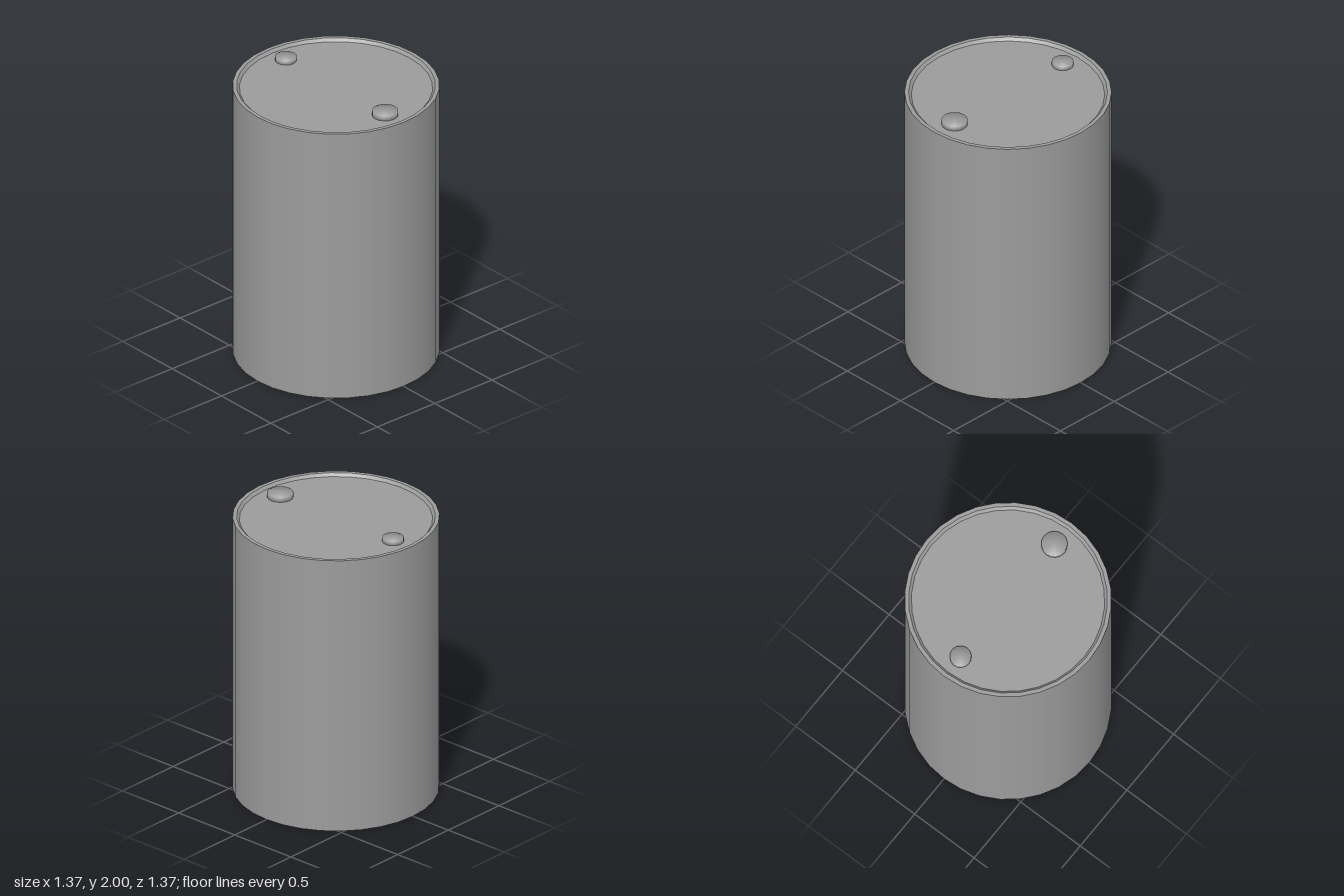
import * as THREE from 'three';
import { mergeGeometries, mergeVertices } from 'three/addons/utils/BufferGeometryUtils.js';

const material = new THREE.MeshStandardMaterial({ color: 0x9c9c9c });

// Drum outline from the bottom centre, round the outside, to the top centre
function drumBody() {
  const height = 1.985, recess = 0.02;
  const half = [[0, recess], [0.64, recess], [0.658, 0], [0.685, 0]];
  const profile = [
    ...half.map(([r, y]) => new THREE.Vector2(r, y)),
    ...half.map(([r, y]) => new THREE.Vector2(r, height - y)).reverse(),
  ];
  // One band per profile segment: round across the facets, sharp between bands
  const bands = profile.slice(1).map((point, i) => new THREE.LatheGeometry([profile[i], point], 32));
  const mesh = new THREE.Mesh(mergeGeometries(bands), material);
  mesh.name = 'drumBody';
  return mesh;
}

// Plug on the lid, with normals shared between the top and the side
function plug(name, radius, top, z) {
  const bottom = 1.955;
  let geometry = new THREE.CylinderGeometry(radius, radius, top - bottom, 16);
  geometry.deleteAttribute('normal');
  geometry.deleteAttribute('uv');
  geometry = mergeVertices(geometry);
  geometry.computeVertexNormals();
  const mesh = new THREE.Mesh(geometry, material);
  mesh.name = name;
  mesh.position.set(0, (top + bottom) / 2, z);
  return mesh;
}

export function createModel() {
  const model = new THREE.Group();
  model.name = 'drum';
  model.add(
    drumBody(),
    plug('largePlug', 0.087, 2, 0.497),
    plug('smallPlug', 0.072, 1.995, -0.508),
  );
  return model;
}
